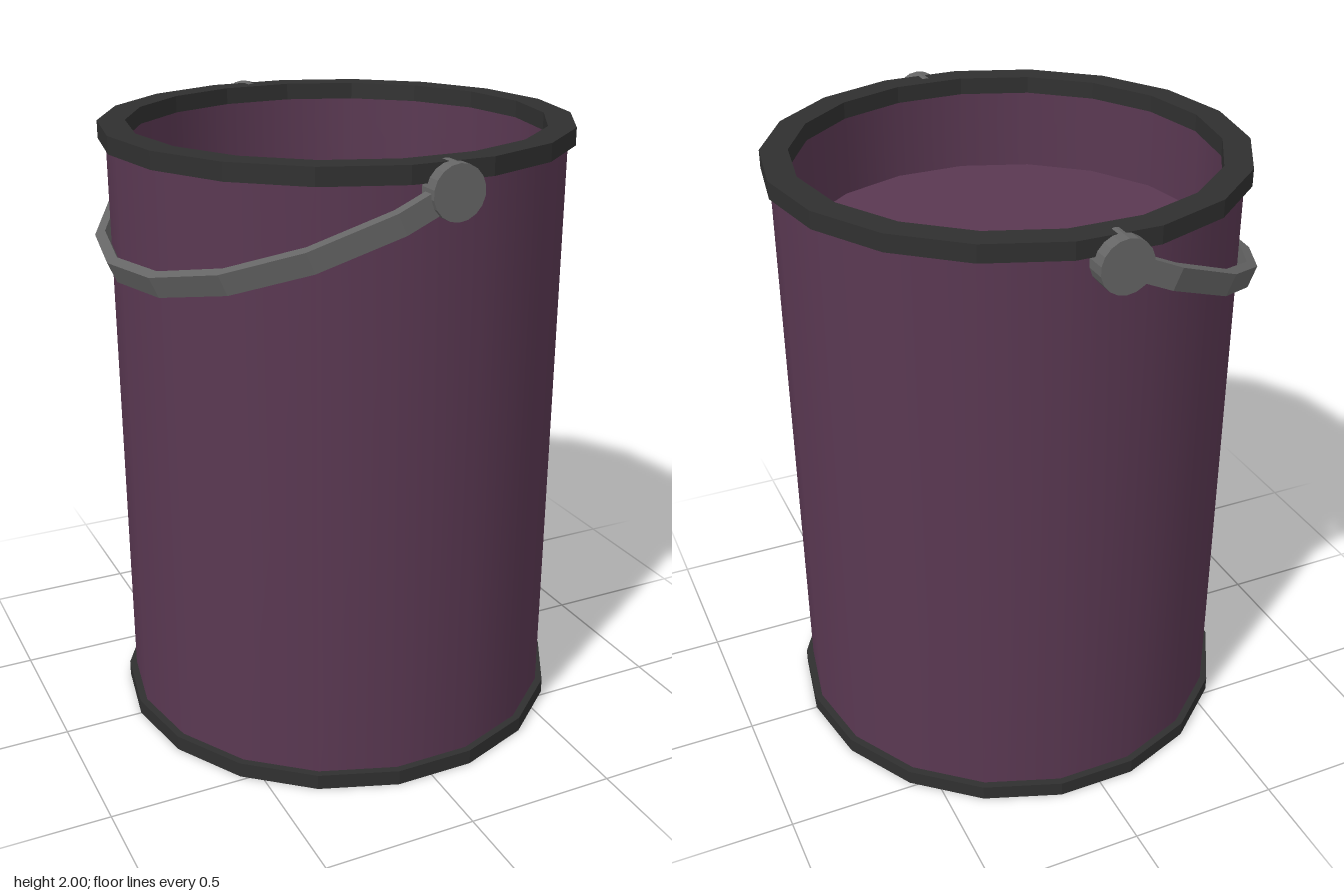
import * as THREE from 'three';

const SIDES = 18;
const START = Math.PI / 2; // puts a corner of every ring on the x axis
const CENTRE_X = 0.012;

const paint = (color, options = {}) => new THREE.MeshStandardMaterial({ color, ...options });

function addPart(parent, name, geometry, material) {
  const mesh = new THREE.Mesh(geometry, material);
  mesh.name = name;
  parent.add(mesh);
  return mesh;
}

// Cylinder between two heights
function tube(radius, y0, y1, open) {
  return new THREE.CylinderGeometry(radius, radius, y1 - y0, SIDES, 1, open, START)
    .translate(0, (y0 + y1) / 2, 0);
}

// Half-ring strap with short straight ends, lying in the xz plane towards -x
function strapGeometry(outer, inner, offset, width) {
  const arc = (radius) => {
    const points = [];
    for (let i = -4; i <= 4; i++) {
      const a = (i * Math.PI) / 9;
      points.push(new THREE.Vector2(-offset - radius * Math.cos(a), radius * Math.sin(a)));
    }
    const end = points[8].y;
    return [new THREE.Vector2(0, -end), ...points, new THREE.Vector2(0, end)];
  };
  const shape = new THREE.Shape([...arc(outer), ...arc(inner).reverse()]);
  return new THREE.ExtrudeGeometry(shape, { depth: width, bevelEnabled: false })
    .translate(0, 0, -width / 2)
    .rotateX(-Math.PI / 2);
}

export function createModel() {
  const model = new THREE.Group();
  model.name = 'bucket';

  const purple = 0x5a3852;
  const dark = paint(0x303030, { flatShading: true });
  const metal = paint(0x666666, { flatShading: true });

  // Body: outer wall, inner wall and the raised inner floor
  const can = new THREE.Group();
  can.name = 'can';
  can.position.x = CENTRE_X;
  model.add(can);
  addPart(can, 'outerWall', tube(0.726, 0.03, 1.96, true), paint(purple));
  addPart(can, 'innerWall', tube(0.675, 1.68, 1.96, true), paint(purple, { side: THREE.BackSide }));
  addPart(can, 'innerFloor',
    new THREE.CircleGeometry(0.675, SIDES).rotateX(-Math.PI / 2).translate(0, 1.68, 0), paint(purple));

  // Base plate and top rim
  addPart(can, 'basePlate', tube(0.75, 0, 0.05, false), dark);
  const rimProfile = [[0.663, 1.945], [0.75, 1.945], [0.75, 2], [0.663, 2], [0.663, 1.945]]
    .map(([r, y]) => new THREE.Vector2(r, y));
  addPart(can, 'topRim', new THREE.LatheGeometry(rimProfile, SIDES, START), dark);

  // Handle, hanging to one side from two pivots
  const handle = new THREE.Group();
  handle.name = 'handle';
  handle.position.set(0.008, 1.92, 0);
  model.add(handle);
  const strap = addPart(handle, 'strap', strapGeometry(0.78, 0.745, 0.046, 0.07), metal);
  strap.rotation.z = THREE.MathUtils.degToRad(24);
  for (const side of [1, -1]) {
    const pivot = addPart(handle, side > 0 ? 'frontPivot' : 'backPivot',
      new THREE.CylinderGeometry(0.082, 0.082, 0.083, SIDES).rotateX(Math.PI / 2), metal);
    pivot.position.z = side * 0.7415;
  }
  return model;
}
